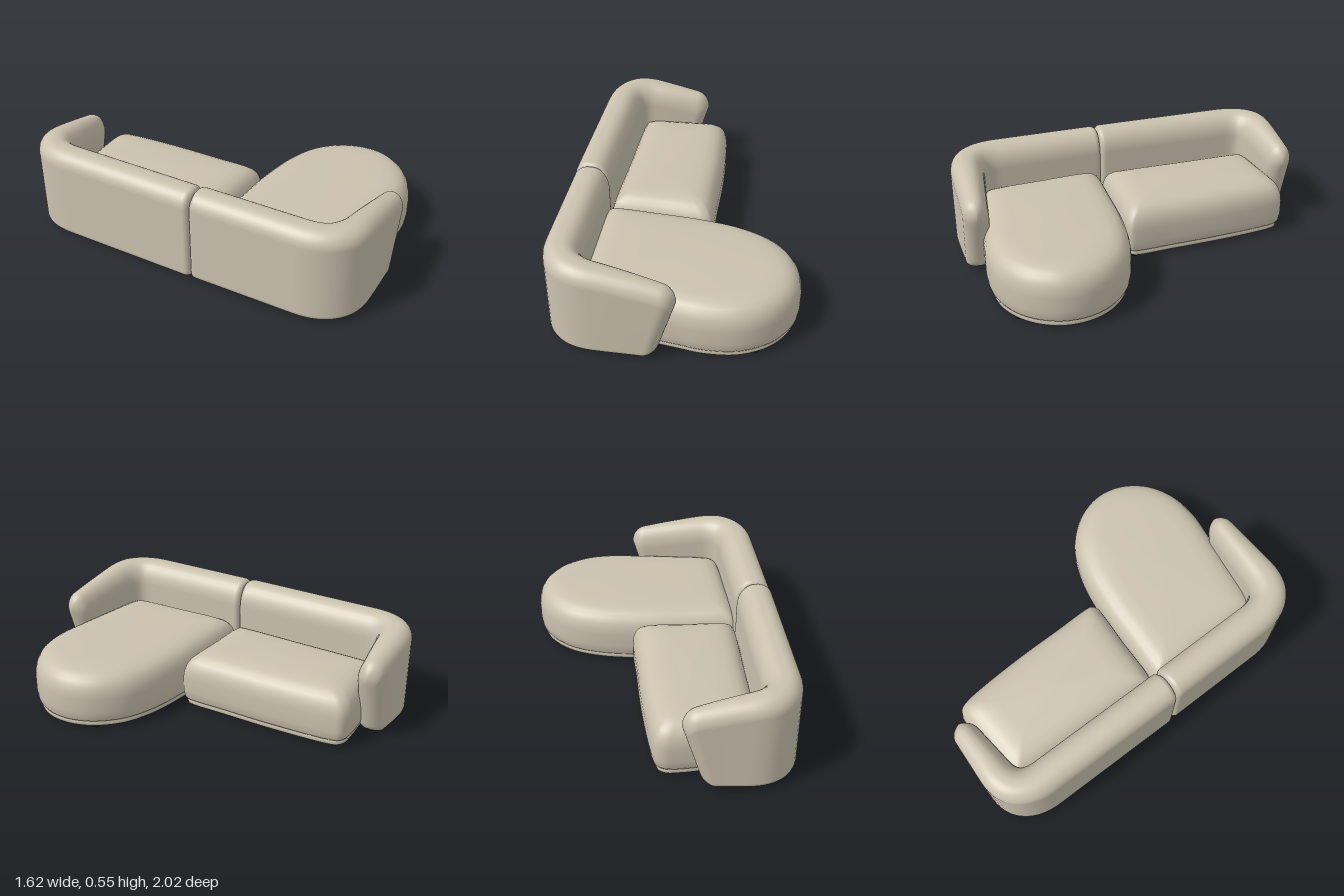
import * as THREE from 'three';

const fabric = new THREE.MeshStandardMaterial({ color: 0xcac1ae });
fabric.name = 'beige fabric';
const dark = new THREE.MeshStandardMaterial({ color: 0x1c1c1c });
dark.name = 'black plastic';

// Skin a list of closed rings of [x, y, z] points
function skin(rings, flip) {
  const n = rings[0].length, idx = [];
  for (let j = 0; j < rings.length - 1; j++) {
    for (let i = 0; i < n; i++) {
      const a = j * n + i, b = j * n + (i + 1) % n, c = a + n, d = b + n;
      if (flip) idx.push(a, c, b, b, c, d);
      else idx.push(a, b, c, b, d, c);
    }
  }
  const g = new THREE.BufferGeometry();
  g.setAttribute('position', new THREE.Float32BufferAttribute(rings.flat(2), 3));
  g.setIndex(idx);
  g.computeVertexNormals();
  return g;
}

// Seat: an outline in plan, stacked along a profile of [inset, y]
const seatProfile = [
  [0.05, 0.015], [0.026, 0.015], [0.02, 0.02], [0.016, 0.038], [0.024, 0.044], [0.016, 0.049],
  [0.006, 0.065], [0, 0.11], [0, 0.19], [0.004, 0.225], [0.013, 0.258], [0.03, 0.287],
  [0.052, 0.307], [0.08, 0.321], [0.12, 0.33], [0.18, 0.334],
];

function seat(points, centre, half, angle) {
  const curve = new THREE.CatmullRomCurve3(
    points.map(([x, z]) => new THREE.Vector3(x, 0, z)), true, 'centripetal');
  const outline = curve.getPoints(160).slice(0, -1);
  const c = Math.cos(angle), s = Math.sin(angle);
  const ring = (ku, kv, y) => outline.map((p) => {
    const dx = p.x - centre[0], dz = p.z - centre[1];
    const u = (dx * c + dz * s) * ku, v = (dz * c - dx * s) * kv;
    return [centre[0] + u * c - v * s, y, centre[1] + u * s + v * c];
  });
  const rings = seatProfile.map(([d, y]) => ring(1 - d / half[0], 1 - d / half[1], y));
  rings.unshift(ring(0, 0, 0.015));
  rings.push(ring(0, 0, 0.336));
  return skin(rings, false);
}

// Rounded cross-section of the backrest: u points outward, y up
function section(hw, y0, y1) {
  const corners = [ // u side, y side, radii
    [1, 1, 0.08, 0.085], [-1, 1, 0.11, 0.13], [-1, -1, 0.035, 0.035], [1, -1, 0.035, 0.035],
  ];
  const pts = [];
  corners.forEach(([su, sy, ru, ry], k) => {
    const rx = Math.min(ru, hw * 0.95);
    const cu = su * (hw - rx), cy = sy > 0 ? y1 - ry : y0 + ry;
    for (let i = 0; i <= 8; i++) {
      const a = (k + i / 8) * Math.PI / 2;
      pts.push([cu + rx * Math.cos(a), cy + ry * Math.sin(a)]);
    }
  });
  return pts;
}

// Backrest: straight back, rounded corner, then an arm that lowers, thins and slants at its tip
function backrest([A, B, C, D, E], side) {
  const path = new THREE.Path();
  path.moveTo(...A).lineTo(...B).quadraticCurveTo(...C, ...D).lineTo(...E);
  const L = path.getLength();
  const armStart = path.getCurveLengths()[1];
  const r0 = 0.03, r1 = 0.07;

  const stations = [];
  for (let i = 0; i <= 6; i++) stations.push(r0 * (1 - Math.cos(i / 6 * Math.PI / 2)));
  for (let i = 1; i < 60; i++) stations.push(r0 + (L - r0 - r1) * i / 60);
  for (let i = 0; i <= 10; i++) stations.push(L - r1 + r1 * Math.sin(i / 10 * Math.PI / 2));

  const round = (d, r) => d >= r ? 0 : r * (1 - Math.sqrt(Math.max(0, 1 - (1 - d / r) ** 2)));
  const ringAt = (s, flat) => {
    const arm = THREE.MathUtils.smoothstep(s, armStart, L);
    const t = Math.max(0, (s - armStart + 0.1) / (L - armStart + 0.1));
    const e0 = round(s, r0), e1 = round(L - s, r1);
    const hw = Math.max(0.002, 0.1 - 0.03 * Math.min(1, t * 1.1) - e0 - e1);
    const top = 0.545 - 0.085 * Math.pow(t, 1.4) - e0 - e1;
    return section(hw, 0.015 + e0 * 0.5 + e1 * 0.6, top).map(([u, y]) => {
      const k = Math.min(1, Math.max(0, (s - 0.3 * Math.max(0, 0.38 - y) * arm) / L));
      const p = path.getPoint(k), q = path.getTangent(k);
      const w = flat ? 0 : u * side;
      return [p.x + q.y * w, y, p.y - q.x * w];
    });
  };
  const rings = stations.map((s) => ringAt(s, false));
  rings.unshift(ringAt(0, true));
  rings.push(ringAt(L, true));
  return skin(rings, side < 0);
}

export function createModel() {
  const model = new THREE.Group();
  model.name = 'sectionalSofa';
  const add = (name, geometry, material) => {
    const mesh = new THREE.Mesh(geometry, material);
    mesh.name = name;
    model.add(mesh);
    return mesh;
  };

  // Rear module seat, a slightly bowed block
  add('rearSeat', seat([
    [0.155, -0.04], [0.10, -0.25], [0.03, -0.52], [-0.05, -0.78], [-0.09, -0.885],
    [-0.115, -0.925], [-0.16, -0.94], [-0.22, -0.93], [-0.42, -0.87], [-0.58, -0.82],
    [-0.625, -0.79], [-0.62, -0.74], [-0.53, -0.35], [-0.43, 0.08], [-0.415, 0.115],
    [-0.37, 0.12], [-0.13, 0.07], [0.08, 0.03], [0.13, 0.015], [0.155, -0.01],
  ], [-0.235, -0.4], [0.28, 0.47], -0.22), fabric);

  // Front module seat, a chaise with a round nose
  add('chaiseSeat', seat([
    [0.28, 0.81], [0.45, 0.787], [0.62, 0.72], [0.75, 0.59], [0.808, 0.42], [0.785, 0.27],
    [0.70, 0.14], [0.55, 0.045], [0.36, 0.013], [0.12, 0.03], [-0.15, 0.08], [-0.37, 0.125],
    [-0.42, 0.145], [-0.425, 0.19], [-0.35, 0.48], [-0.26, 0.8], [-0.235, 0.845],
    [-0.18, 0.855], [0.05, 0.835],
  ], [0.2, 0.43], [0.6, 0.4], 0), fabric);

  // Backrests with their arms
  add('rearBackrest', backrest([
    [-0.515, 0.145], [-0.705, -0.64], [-0.75, -0.83], [-0.58, -0.875], [-0.25, -0.965],
  ], 1), fabric);
  add('chaiseBackrest', backrest([
    [-0.51, 0.145], [-0.36, 0.74], [-0.312, 0.93], [-0.13, 0.903], [0.305, 0.83],
  ], -1), fabric);

  // Feet
  const footGeometry = new THREE.CylinderGeometry(0.022, 0.022, 0.02, 16);
  [
    [0.09, -0.03], [-0.17, -0.86], [-0.53, -0.76], [-0.38, 0.07], [-0.49, 0.08], [-0.42, -0.91],
    [0.65, 0.17], [0.66, 0.62], [-0.36, 0.18], [-0.18, 0.79], [-0.47, 0.2], [0.09, 0.88],
  ].forEach(([x, z]) => add('foot', footGeometry, dark).position.set(x, 0.01, z));

  return model;
}
